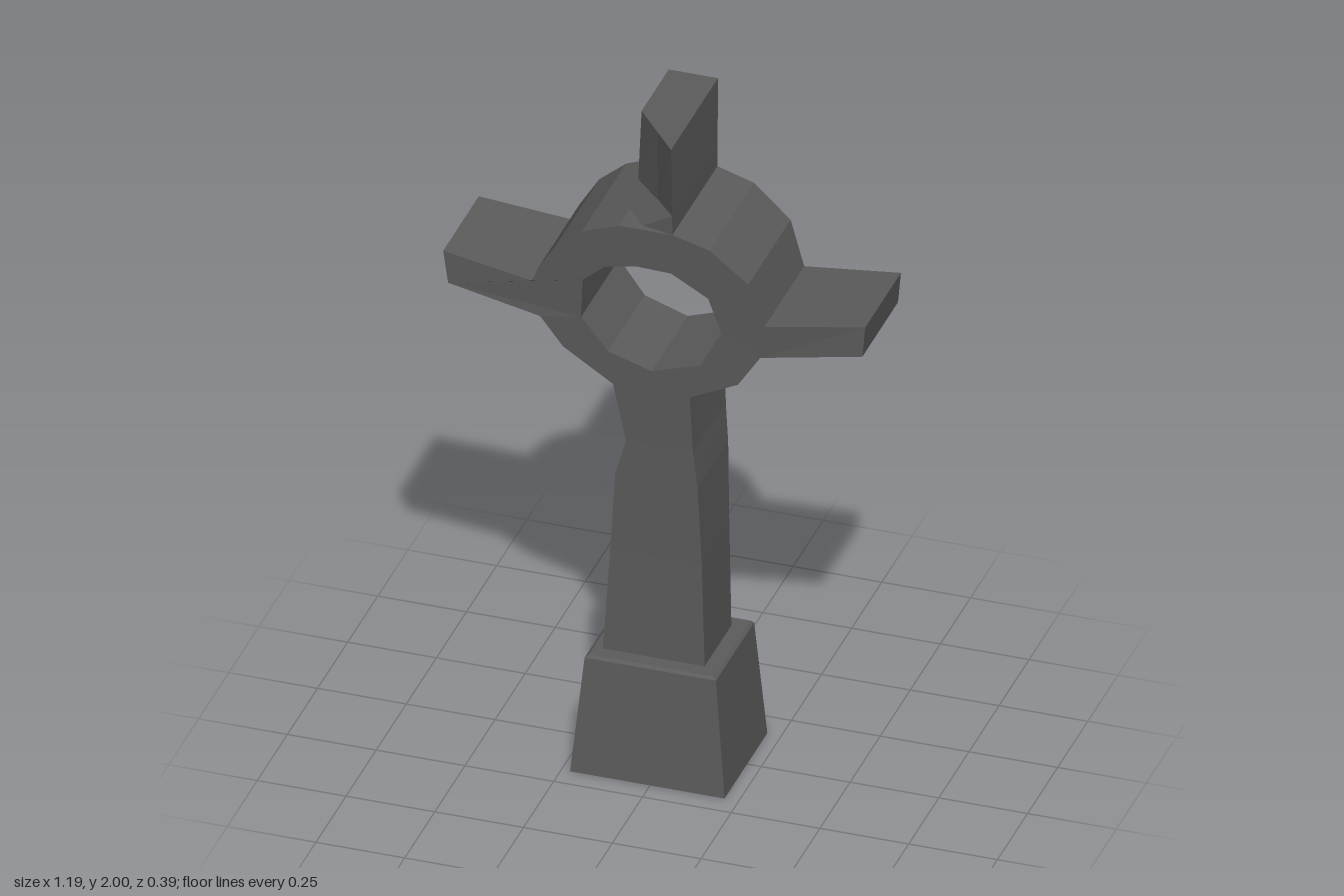
import * as THREE from 'three';

const lerp = THREE.MathUtils.lerp;

// Piecewise-linear lookup in rows of [key, value]
function sample(rows, k) {
  if (k <= rows[0][0]) return rows[0][1];
  for (let i = 1; i < rows.length; i++) {
    const [k0, v0] = rows[i - 1], [k1, v1] = rows[i];
    if (k <= k1) return lerp(v0, v1, (k - k0) / (k1 - k0));
  }
  return rows[rows.length - 1][1];
}

// Skin stacked sections { y, pts: [[x, z], ...] }, wound from the front left corner to the right
function loft(sections, { bottom = false, top = false } = {}) {
  const out = [];
  const put = (s, i) => out.push(s.pts[i][0], s.y, s.pts[i][1]);
  const n = sections[0].pts.length;
  for (let j = 0; j < sections.length - 1; j++) {
    const a = sections[j], b = sections[j + 1];
    for (let i = 0; i < n; i++) {
      const k = (i + 1) % n;
      put(a, i); put(a, k); put(b, k);
      put(a, i); put(b, k); put(b, i);
    }
  }
  const first = sections[0], last = sections[sections.length - 1];
  for (let i = 1; i < n - 1; i++) {
    if (top) { put(last, 0); put(last, i); put(last, i + 1); }
    if (bottom) { put(first, 0); put(first, i + 1); put(first, i); }
  }
  const geometry = new THREE.BufferGeometry();
  geometry.setAttribute('position', new THREE.Float32BufferAttribute(out, 3));
  geometry.computeVertexNormals();
  return geometry;
}

// Four-cornered section
const quad = (y, x0, x1, zBack, zFront) =>
  ({ y, pts: [[x0, zFront], [x1, zFront], [x1, zBack], [x0, zBack]] });

export function createModel() {
  const group = new THREE.Group();
  const stone = new THREE.MeshStandardMaterial({ color: 0x5c5c5c, flatShading: true });
  stone.name = 'dark stone';
  const add = (name, geometry) => {
    const mesh = new THREE.Mesh(geometry, stone);
    mesh.name = name;
    group.add(mesh);
  };

  // Tapered plinth with a thin worn rim
  add('plinth', loft([
    quad(0, -0.225, 0.21, -0.168, 0.187),
    quad(0.352, -0.19, 0.18, -0.147, 0.17),
    quad(0.36, -0.18, 0.172, -0.14, 0.163),
  ], { bottom: true, top: true }));

  // Shaft, narrowing in width and deepening upwards
  add('shaft', loft([
    quad(0.355, -0.155, 0.132, -0.1, 0.122),
    quad(0.68, -0.132, 0.126, -0.1, 0.128),
    quad(0.92, -0.116, 0.116, -0.12, 0.134),
    { y: 1.03, pts: [[-0.085, 0.137], [0.104, 0.137], [0.106, -0.13], [-0.112, -0.13]] },
    quad(1.207, -0.118, 0.098, -0.146, 0.146),
  ]));

  // Wheel head: ring and side arms in one outline with a rough round hole
  const outline = [
    [-0.118, 1.207], [0.098, 1.207], [0.235, 1.275], [0.3, 1.375],
    [0.585, 1.43], [0.593, 1.523], [0.315, 1.48],
    [0.273, 1.61], [0.167, 1.7], [0.063, 1.73], [-0.087, 1.73],
    [-0.193, 1.69], [-0.267, 1.63], [-0.32, 1.545], [-0.34, 1.497],
    [-0.596, 1.53], [-0.582, 1.433], [-0.32, 1.385], [-0.257, 1.3],
  ];
  const opening = [
    [-0.045, 1.605], [0.055, 1.602], [0.158, 1.54], [0.192, 1.433], [0.13, 1.316],
    [-0.008, 1.27], [-0.13, 1.31], [-0.204, 1.406], [-0.196, 1.53], [-0.13, 1.587],
  ];
  const toPoints = (list) => list.map(([x, y]) => new THREE.Vector2(x, y));
  const shape = new THREE.Shape(toPoints(outline));
  shape.holes.push(new THREE.Path(toPoints(opening)));
  const head = new THREE.ExtrudeGeometry(shape, { depth: 1, bevelEnabled: false });

  // Depth grows with height and shrinks towards the arm tips
  const halfDepth = [[1.2, 0.146], [1.38, 0.156], [1.52, 0.168], [1.73, 0.187]];
  const pos = head.attributes.position;
  for (let i = 0; i < pos.count; i++) {
    const reach = Math.abs(pos.getX(i));
    const d = reach > 0.5 ? 0.148 : sample(halfDepth, pos.getY(i));
    pos.setZ(i, lerp(-d, d, pos.getZ(i)));
  }
  head.computeVertexNormals();
  add('wheelHeadWithSideArms', head);

  // Top arm with its front left corner broken away
  const chipped = (y, left, mid, right, back) =>
    ({ y, pts: [left, mid, right, [right[0], -back], [left[0], -back]] });
  add('topArm', loft([
    chipped(1.728, [-0.087, 0.1], [-0.03, 0.165], [0.063, 0.187], 0.187),
    chipped(1.79, [-0.083, 0.04], [0, 0.12], [0.063, 0.189], 0.188),
    chipped(2, [-0.077, 0.03], [-0.005, 0.112], [0.062, 0.195], 0.195),
  ], { top: true }));

  return group;
}
